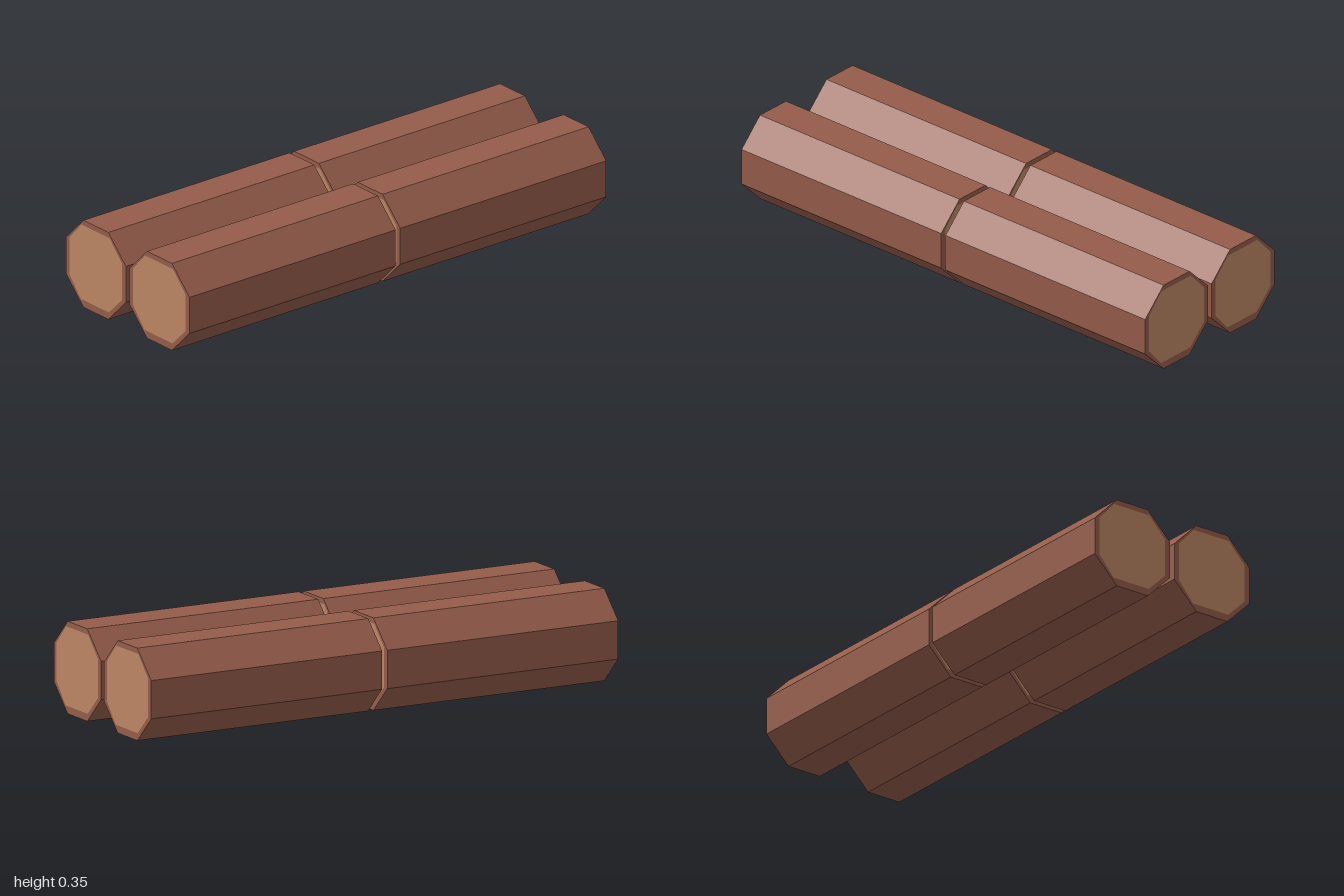
import * as THREE from 'three';

export function createModel() {
  const model = new THREE.Group();
  model.name = 'logs';

  const bark = new THREE.MeshStandardMaterial({ color: 0x945c4a, flatShading: true });
  bark.name = 'bark brown';
  const wood = new THREE.MeshStandardMaterial({ color: 0xbc8564, flatShading: true });
  wood.name = 'cut wood tan';

  const apothem = 0.176, gap = 0.011, length = 1 - gap;
  const radius = apothem / Math.cos(Math.PI / 8);

  // Octagonal bark tube along z
  const sideGeo = new THREE.CylinderGeometry(radius, radius, length, 8, 1, true, Math.PI / 8);
  sideGeo.rotateX(Math.PI / 2);

  // Slightly uneven cut face, with a bark rim around it
  const cut = [
    [-0.085, 0.155], [0.08, 0.155], [0.153, 0.076], [0.153, -0.071],
    [0.076, -0.147], [-0.088, -0.147], [-0.154, -0.07], [-0.154, 0.08],
  ].map(([x, y]) => new THREE.Vector2(x, y));
  const outline = Array.from({ length: 8 }, (_, i) => {
    const a = (i + 0.5) * Math.PI / 4;
    return new THREE.Vector2(radius * Math.cos(a), radius * Math.sin(a));
  });
  const rimShape = new THREE.Shape(outline);
  rimShape.holes.push(new THREE.Path(cut));
  const rimGeo = new THREE.ShapeGeometry(rimShape);
  const cutGeo = new THREE.ShapeGeometry(new THREE.Shape(cut));

  // One log: bark side plus two ends, the back end turned half round
  function makeLog(name) {
    const log = new THREE.Group();
    log.name = name;
    const side = new THREE.Mesh(sideGeo, bark);
    side.name = 'barkSide';
    log.add(side);
    for (const [label, turn] of [['front', 0], ['back', Math.PI]]) {
      const end = new THREE.Group();
      end.name = label + 'End';
      const rim = new THREE.Mesh(rimGeo, bark);
      rim.name = label + 'BarkRim';
      const face = new THREE.Mesh(cutGeo, wood);
      face.name = label + 'CutFace';
      rim.position.z = face.position.z = length / 2;
      end.add(rim, face);
      end.rotation.y = turn;
      log.add(end);
    }
    return log;
  }

  // Two rows of two logs
  for (const [sideName, sx] of [['Left', 1], ['Right', -1]]) {
    for (const [endName, sz] of [['front', 1], ['back', -1]]) {
      const log = makeLog(endName + sideName + 'Log');
      log.position.set(sx * (apothem + 0.01), apothem, sz * (gap + length / 2));
      model.add(log);
    }
  }
  return model;
}
